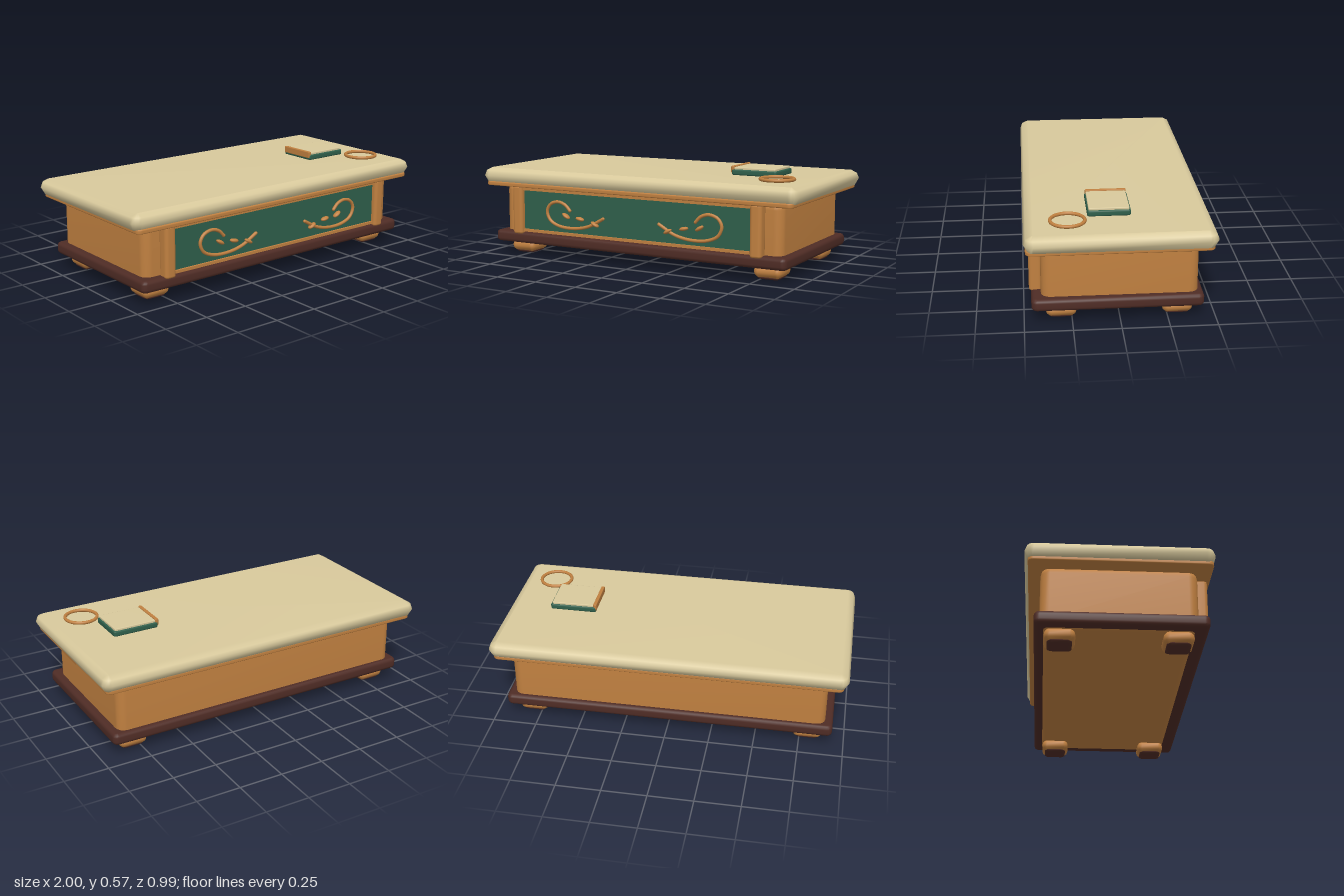
import * as THREE from 'three';

const mat = (name, color) => {
  const m = new THREE.MeshStandardMaterial({ color });
  m.name = name;
  return m;
};

// Box with rounded plan corners whose edge follows a profile of [inset, y] pairs, bottom to top
function softBox(w, d, corner, profile, k = 4) {
  const pos = [], idx = [], n = 4 * (k + 1);
  for (const [inset, y] of profile) {
    const r = Math.max(corner - inset, 0.004);
    for (let q = 0; q < 4; q++) {
      const sx = q === 0 || q === 3 ? 1 : -1, sz = q < 2 ? 1 : -1;
      for (let i = 0; i <= k; i++) {
        const a = (q + i / k) * Math.PI / 2;
        pos.push(sx * (w / 2 - inset - r) + r * Math.cos(a), y, sz * (d / 2 - inset - r) + r * Math.sin(a));
      }
    }
  }
  const last = (profile.length - 1) * n;
  for (let s = 0; s < last; s += n) {
    for (let j = 0; j < n; j++) {
      const a = s + j, b = s + (j + 1) % n;
      idx.push(a, a + n, b, b, a + n, b + n);
    }
  }
  for (let j = 1; j < n - 1; j++) {
    idx.push(0, j, j + 1, last, last + j + 1, last + j);
  }
  const g = new THREE.BufferGeometry();
  g.setAttribute('position', new THREE.Float32BufferAttribute(pos, 3));
  g.setIndex(idx);
  g.computeVertexNormals();
  return g;
}

// Evenly rounded edge profile from y0 to y1 with bevel b
function roundEdge(y0, y1, b, steps = 3) {
  const low = [], high = [];
  for (let i = 0; i <= steps; i++) {
    const a = i / steps * Math.PI / 2, inset = b * (1 - Math.sin(a)), dy = b * (1 - Math.cos(a));
    low.push([inset, y0 + dy]);
    high.unshift([inset, y1 - dy]);
  }
  return [...low, ...high];
}

export function createModel() {
  const wood = mat('warm wood', 0xc08040);
  const dark = mat('dark wood', 0x4f2c25);
  const cream = mat('cream', 0xd8c99c);
  const green = mat('green', 0x2f5f4b);
  const group = new THREE.Group();
  const add = (name, geo, material, x = 0, y = 0, z = 0, parent = group) => {
    const m = new THREE.Mesh(geo, material);
    m.name = name;
    m.position.set(x, y, z);
    parent.add(m);
    return m;
  };

  // Table top and its trim
  add('tabletop', softBox(2, 0.99, 0.05, [[0.022, 0.425], [0, 0.465], [0.012, 0.495], [0.045, 0.512]]), cream);
  add('topTrim', softBox(1.95, 0.962, 0.03, roundEdge(0.408, 0.432, 0.006)), wood, 0, 0, 0.005);

  // Cabinet and plinth
  add('body', softBox(1.78, 0.82, 0.05, roundEdge(0.068, 0.425, 0.045)), wood);
  add('plinth', softBox(1.865, 0.898, 0.03, roundEdge(0.074, 0.14, 0.02)), dark, 0, 0, 0.012);

  // Feet with dark pads
  const footGeo = softBox(0.162, 0.162, 0.03, [[0.022, 0.01], [0.005, 0.024], [0, 0.04], [0.003, 0.058], [0.018, 0.076]]);
  const padGeo = softBox(0.128, 0.128, 0.025, [[0.014, 0], [0, 0.007], [0, 0.014]]);
  for (const x of [-0.793, 0.793]) {
    for (const z of [-0.304, 0.306]) {
      add('foot', footGeo, wood, x, 0, z);
      add('footPad', padGeo, dark, x, 0, z);
    }
  }

  // Front panel, rails and pilasters
  add('frontPanel', new THREE.BoxGeometry(1.48, 0.25, 0.05), green, 0, 0.273, 0.415);
  for (const y of [0.152, 0.396]) {
    add('rail', new THREE.BoxGeometry(1.48, 0.016, 0.05), wood, 0, y, 0.427);
  }
  const pilasterGeo = softBox(0.068, 0.07, 0.02, roundEdge(0.13, 0.412, 0.012));
  for (const x of [-0.763, 0.763]) add('pilaster', pilasterGeo, wood, x, 0, 0.436);

  // Scroll carvings, mirrored
  const scroll = [[0.405, 0.29], [0.435, 0.32], [0.485, 0.336], [0.54, 0.318], [0.562, 0.275], [0.54, 0.225],
    [0.48, 0.196], [0.38, 0.189], [0.28, 0.208], [0.18, 0.26]];
  const leaves = [[0.43, 0.258, -0.55], [0.335, 0.248, -0.2], [0.235, 0.225, -0.5]];
  for (const s of [-1, 1]) {
    const carving = new THREE.Group();
    carving.name = s > 0 ? 'leftCarving' : 'rightCarving';
    group.add(carving);
    const path = new THREE.CatmullRomCurve3(scroll.map(([x, y]) => new THREE.Vector3(s * x, y, 0.448)));
    add('scroll', new THREE.TubeGeometry(path, 48, 0.0095, 8), wood, 0, 0, 0, carving);
    for (const p of [scroll[0], scroll[scroll.length - 1]]) {
      add('scrollEnd', new THREE.SphereGeometry(0.0095, 8, 6), wood, s * p[0], p[1], 0.448, carving);
    }
    for (const [x, y, tilt] of leaves) {
      const leaf = add('leaf', new THREE.SphereGeometry(1, 12, 8), wood, s * x, y, 0.45, carving);
      leaf.scale.set(0.028, 0.011, 0.018);
      leaf.rotation.z = -s * tilt;
    }
  }

  // Book
  add('bookCover', softBox(0.268, 0.228, 0.012, roundEdge(0.518, 0.55, 0.008)), green, 0.61, 0, 0.046);
  add('bookPages', softBox(0.246, 0.214, 0.008, roundEdge(0.545, 0.562, 0.004)), cream, 0.612, 0, 0.046);
  add('bookSpine', softBox(0.02, 0.22, 0.005, roundEdge(0.53, 0.568, 0.004)), wood, 0.482, 0, 0.046);

  // Ring
  const ring = add('ring', new THREE.TorusGeometry(0.09, 0.0095, 10, 40), wood, 0.797, 0.527, 0.265);
  ring.rotation.x = Math.PI / 2;

  return group;
}
